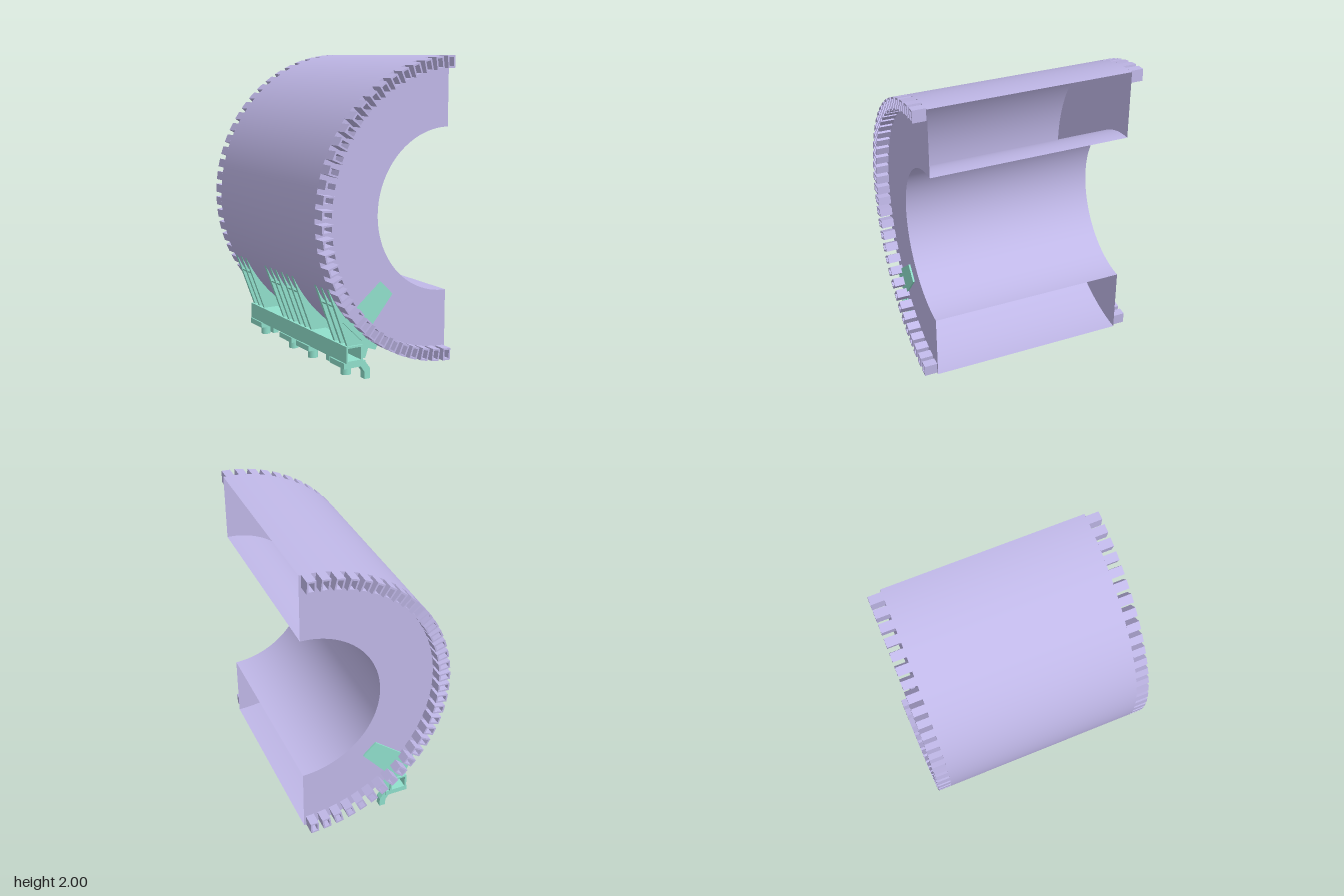
import * as THREE from 'three';

const CX = 0.483, CY = 1.03, R = 0.97, RI = 0.525, HZ = 0.65;
const lilac = new THREE.MeshStandardMaterial({ color: 0xc0b8e8, side: THREE.DoubleSide });
const green = new THREE.MeshStandardMaterial({ color: 0x90e0cc, side: THREE.DoubleSide });

function add(parent, name, geo, mat, x = 0, y = 0, z = 0) {
  const m = new THREE.Mesh(geo, mat);
  m.name = name;
  m.position.set(x, y, z);
  parent.add(m);
  return m;
}

const poly = pts => new THREE.Shape(pts.map(p => new THREE.Vector2(p[0], p[1])));
const rect = (w, h) => poly([[-w / 2, -h / 2], [w / 2, -h / 2], [w / 2, h / 2], [-w / 2, h / 2]]);

// Extrusion centred on z = 0
function slab(shape, depth) {
  const g = new THREE.ExtrudeGeometry(shape, { depth, bevelEnabled: false });
  return g.translate(0, 0, -depth / 2);
}

function frame(w, h, wall) {
  const s = rect(w, h);
  s.holes.push(rect(w - 2 * wall, h - 2 * wall));
  return s;
}

// Point on the outer shell at angle a
const onShell = (a, r = R) => [CX + r * Math.cos(a), CY + r * Math.sin(a)];

function halfShell(r) {
  const g = new THREE.CylinderGeometry(r, r, 2 * HZ, 96, 1, true, Math.PI, Math.PI);
  return g.rotateX(Math.PI / 2);
}

function buildDrum() {
  const drum = new THREE.Group();
  drum.name = 'halfDrum';
  // Hollow body: outer and inner shells, open along the cut
  add(drum, 'outerShell', halfShell(R), lilac, CX, CY);
  add(drum, 'innerShell', halfShell(RI), lilac, CX, CY);
  // Half-ring end plates
  const ring = new THREE.RingGeometry(RI, R, 96, 1, Math.PI / 2, Math.PI);
  add(drum, 'frontEndPlate', ring, lilac, CX, CY, HZ);
  add(drum, 'backEndPlate', ring, lilac, CX, CY, -HZ).rotation.x = Math.PI;

  // Hollow square teeth around both rims
  const n = 34, toothGeo = slab(frame(0.078, 0.056, 0.011), 0.085);
  for (let i = 0; i < n; i++) {
    const a = Math.PI / 2 + (i + 0.5) * Math.PI / n;
    const [x, y] = onShell(a, R - 0.039);
    for (const s of [-1, 1])
      add(drum, 'rimTooth', toothGeo, lilac, x, y, s * (HZ + 0.0425)).rotation.z = a;
  }
  return drum;
}

function buildCradle() {
  const cradle = new THREE.Group();
  cradle.name = 'cradle';

  // Square rail along the whole length
  add(cradle, 'rail', slab(frame(0.12, 0.108, 0.013), 2 * HZ), green, -0.205, 0.178);

  // Plates lying on the end faces
  const plate = slab(poly([[-0.02, 0.615], [-0.295, 0.39], [-0.16, 0.26], [0.065, 0.53]]), 0.012);
  for (const s of [-1, 1]) add(cradle, 'endPlate', plate, green, 0, 0, s * (HZ + 0.006));

  // Rib profile: curved edge hugs the shell, notch fits the rail
  const a0 = Math.atan2(0.6 - CY, -0.395 - CX), a1 = Math.atan2(0.21 - CY, -0.03 - CX);
  const ribPts = [[-0.25, 0.23], [-0.145, 0.23], [-0.145, 0.14], [-0.12, 0.14],
    [-0.1, 0.2], [-0.045, 0.18]];
  for (let i = 0; i <= 16; i++) ribPts.push(onShell(a1 + (a0 - a1) * i / 16));
  const rib = slab(poly(ribPts), 0.022);

  // Clamp hook profile and base plate
  const hook = slab(poly([[-0.16, 0.12], [-0.12, 0.12], [-0.078, 0.065], [-0.078, 0],
    [-0.12, 0], [-0.12, 0.045], [-0.15, 0.09], [-0.16, 0.09]]), 0.045);
  const base = new THREE.BoxGeometry(0.155, 0.036, 0.17);
  const peg = new THREE.CylinderGeometry(0.033, 0.033, 0.07, 24);

  for (const s of [-1, 1]) for (const [zc, zPeg, zHook] of [[0.555, 0.545, 0.61], [0.115, 0.13, 0.183]]) {
    const station = new THREE.Group();
    station.name = 'supportStation';
    cradle.add(station);
    for (const o of [-1, 0, 1]) add(station, 'rib', rib, green, 0, 0, s * zc + o * 0.074);
    // Cross bars tying the ribs together against the shell
    for (const y of [0.5, 0.34, 0.28, 0.22]) {
      const a = Math.PI + Math.asin((CY - y) / R);
      const [x, by] = onShell(a, R + 0.006);
      const bar = add(station, 'crossBar', new THREE.BoxGeometry(0.022, 0.016, 0.17), green, x, by, s * zc);
      bar.rotation.z = a;
    }
    add(station, 'basePlate', base, green, -0.197, 0.107, s * zc);
    add(station, 'peg', peg, green, -0.203, 0.06, s * zPeg);
    add(station, 'clampHook', hook, green, 0, 0, s * zHook);
  }
  return cradle;
}

export function createModel() {
  const model = new THREE.Group();
  model.name = 'halfDrumOnCradle';
  model.add(buildDrum(), buildCradle());
  return model;
}
